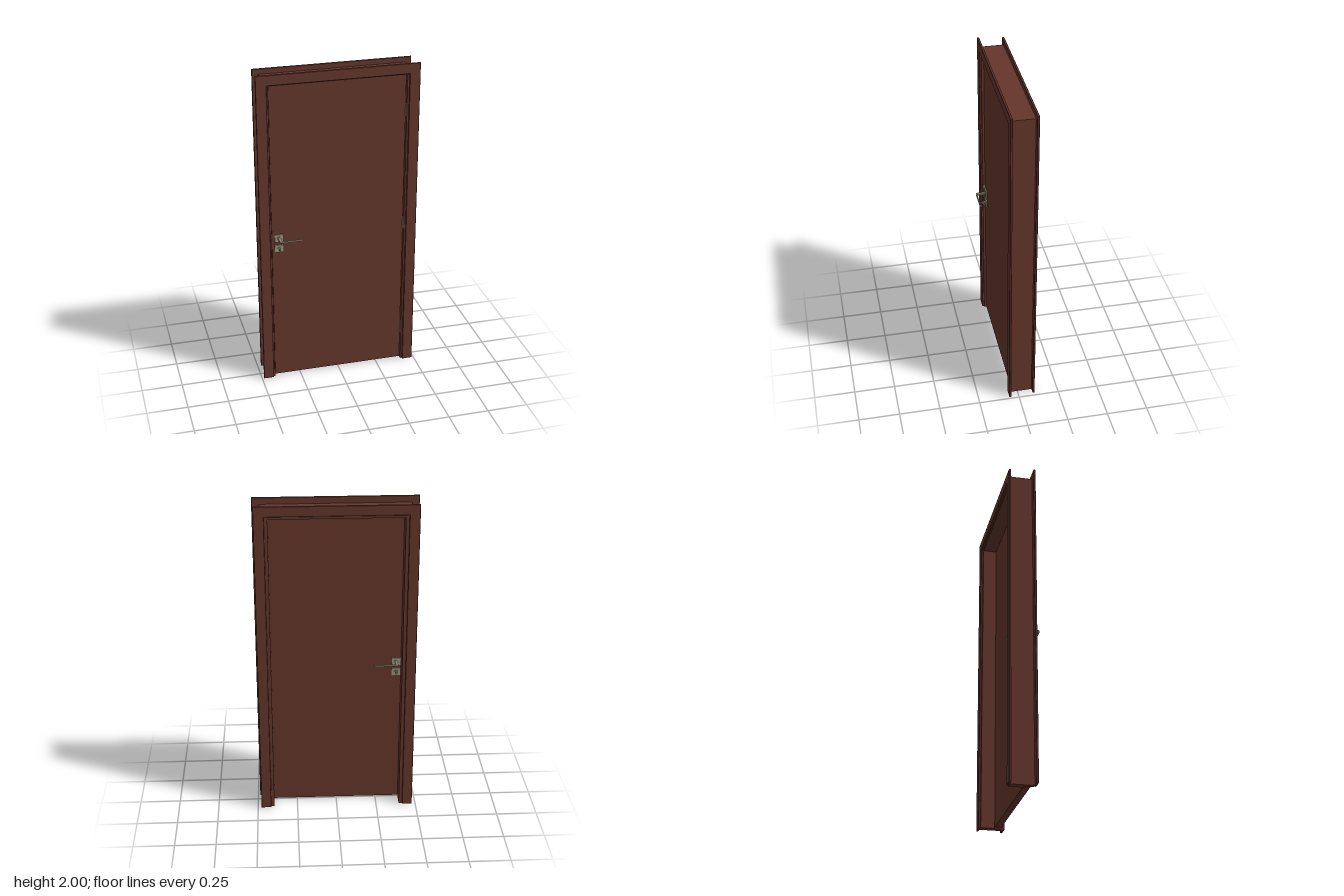
import * as THREE from 'three';

const wood = new THREE.MeshStandardMaterial({ color: 0x65362c });
wood.name = 'red brown wood';
const metal = new THREE.MeshStandardMaterial({ color: 0x9c967c });
metal.name = 'satin metal';

const LEAF_BACK = -0.005, LEAF_FRONT = 0.035;
const HANDLE_X = -0.3675;

function part(name, geometry, material, x = 0, y = 0, z = 0) {
  const mesh = new THREE.Mesh(geometry, material);
  mesh.name = name;
  mesh.position.set(x, y, z);
  return mesh;
}

function box(name, material, x0, x1, y0, y1, z0, z1) {
  return part(name, new THREE.BoxGeometry(x1 - x0, y1 - y0, z1 - z0), material,
    (x0 + x1) / 2, (y0 + y1) / 2, (z0 + z1) / 2);
}

// Three-sided door surround: two uprights and a head in one extrusion
function surround(name, outerX, innerX, outerY, innerY, z0, z1, bevel = 0) {
  const shape = new THREE.Shape([
    [-outerX, 0], [-innerX, 0], [-innerX, innerY], [innerX, innerY],
    [innerX, 0], [outerX, 0], [outerX, outerY], [-outerX, outerY],
  ].map(([x, y]) => new THREE.Vector2(x, y)));
  const geometry = new THREE.ExtrudeGeometry(shape, {
    depth: z1 - z0 - 2 * bevel, bevelEnabled: bevel > 0, bevelSegments: 1,
    bevelSize: bevel, bevelThickness: bevel, bevelOffset: -bevel,
  });
  return part(name, geometry, wood, 0, 0, z0 + bevel);
}

// Handle set for one face; side is +1 for the front and -1 for the back
function handleSet(side) {
  const group = new THREE.Group();
  group.name = side > 0 ? 'frontHandle' : 'backHandle';
  const face = side > 0 ? LEAF_FRONT : LEAF_BACK;

  // Square roses with a raised centre
  for (const [name, y] of [['leverRose', 0.966], ['keyRose', 0.897]]) {
    group.add(part(name, new THREE.BoxGeometry(0.054, 0.048, 0.008), metal, HANDLE_X, y, face + side * 0.004));
    group.add(part(name + 'Collar', new THREE.CylinderGeometry(0.012, 0.012, 0.004, 20).rotateX(Math.PI / 2),
      metal, HANDLE_X, y, face + side * 0.01));
  }

  // Lever seen from above: neck, long grip and a short return at the tip
  const lever = new THREE.Shape();
  lever.moveTo(-0.0075, 0);
  lever.lineTo(-0.0075, 0.062);
  lever.quadraticCurveTo(-0.0075, 0.067, -0.0025, 0.067);
  lever.lineTo(0.132, 0.067);
  lever.quadraticCurveTo(0.137, 0.067, 0.137, 0.062);
  lever.lineTo(0.137, 0.055);
  lever.lineTo(0.133, 0.055);
  lever.lineTo(0.131, 0.06);
  lever.lineTo(0.012, 0.06);
  lever.quadraticCurveTo(0.0075, 0.06, 0.0075, 0.055);
  lever.lineTo(0.0075, 0);
  const grip = new THREE.ExtrudeGeometry(lever, { depth: 0.01, bevelEnabled: false, curveSegments: 4 });
  grip.translate(0, 0, -0.005).rotateX(side * Math.PI / 2);
  group.add(part('lever', grip, metal, HANDLE_X, 0.966, face));

  // Lock cylinder
  group.add(part('lockCylinder', new THREE.CylinderGeometry(0.005, 0.005, 0.036, 16).rotateX(Math.PI / 2),
    metal, HANDLE_X, 0.9, face + side * 0.018));
  group.add(part('lockBody', new THREE.BoxGeometry(0.006, 0.014, 0.028), metal, HANDLE_X, 0.893, face + side * 0.014));
  return group;
}

export function createModel() {
  const model = new THREE.Group();
  model.name = 'door';

  // Frame: trims on both faces, jamb lining and door stop
  model.add(surround('frontTrim', 0.488, 0.424, 2, 1.937, 0.047, 0.06, 0.002));
  model.add(surround('backTrim', 0.478, 0.416, 1.992, 1.93, -0.103, -0.09, 0.002));
  model.add(surround('jamb', 0.443, 0.414, 1.96, 1.932, -0.091, 0.048));
  model.add(surround('doorStop', 0.415, 0.396, 1.933, 1.912, -0.091, LEAF_BACK));

  // Leaf
  model.add(box('leaf', wood, -0.41, 0.41, 0.008, 1.927, LEAF_BACK, LEAF_FRONT));

  // Hinges in the gap on the left side
  for (const y of [0.23, 0.97, 1.71]) {
    const hinge = new THREE.Group();
    hinge.name = 'hinge';
    hinge.add(part('hingeBarrel', new THREE.CylinderGeometry(0.0045, 0.0045, 0.082, 12), metal, 0.412, y, LEAF_FRONT + 0.001));
    hinge.add(box('hingePlate', metal, 0.411, 0.4135, y - 0.041, y + 0.041, 0.005, LEAF_FRONT));
    model.add(hinge);
  }

  // Strike plate on the latch side
  model.add(box('strikePlate', metal, -0.4142, -0.412, 0.955, 1.0, 0.012, 0.043));

  model.add(handleSet(1), handleSet(-1));
  return model;
}
